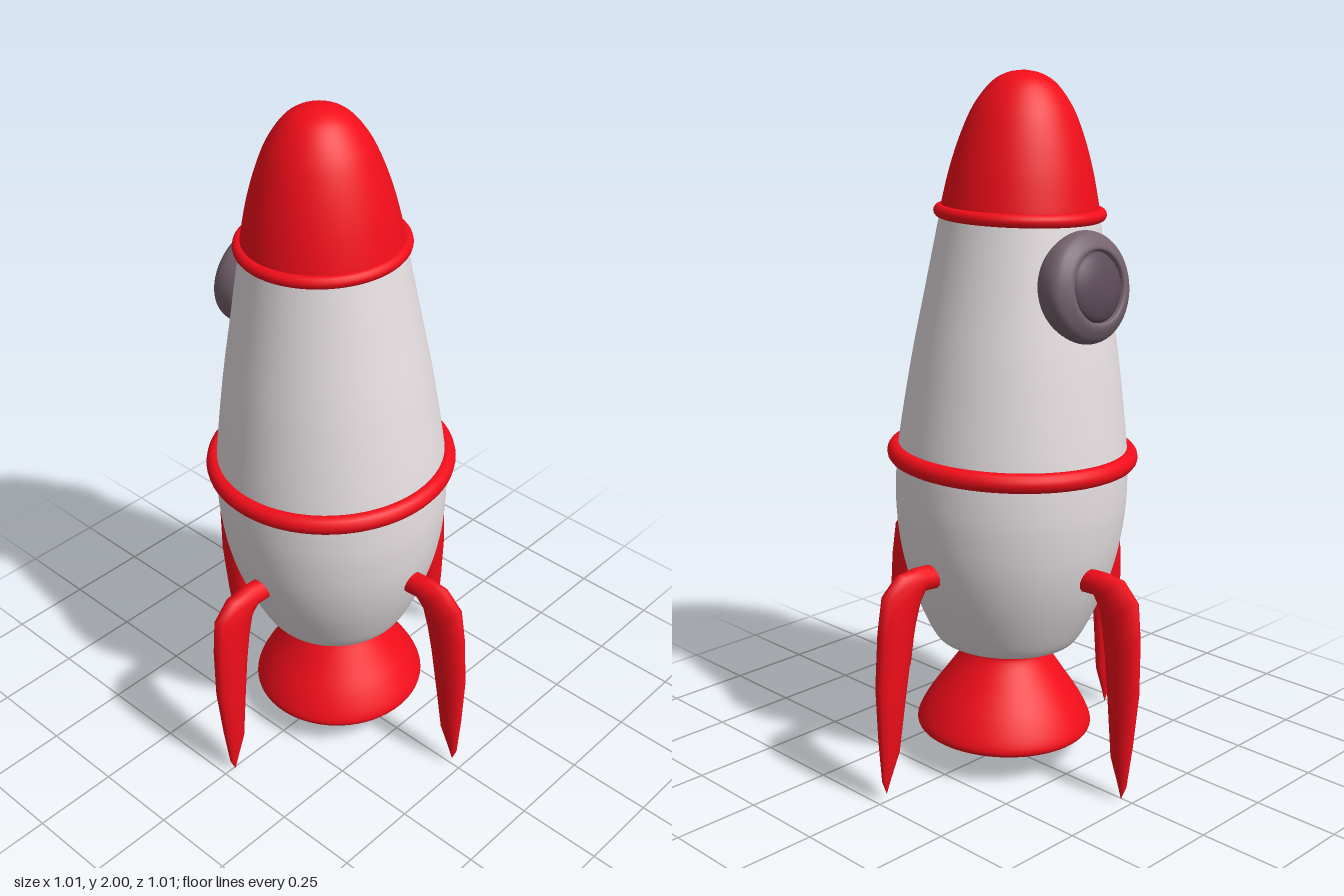
import * as THREE from 'three';

const red = new THREE.MeshStandardMaterial({ color: 0xf20d1a });
const white = new THREE.MeshStandardMaterial({ color: 0xe6dfe2 });
const frameMat = new THREE.MeshStandardMaterial({ color: 0x75636e });
const glassMat = new THREE.MeshStandardMaterial({ color: 0x5c4b58 });

const vec = ([x, y]) => new THREE.Vector2(x, y);

// Smooth surface of revolution through a few [radius, height] points
function turned(name, points, material, steps = 40) {
  const profile = new THREE.SplineCurve(points.map(vec)).getPoints(steps);
  profile.forEach((p) => { p.x = Math.max(p.x, 0); });
  const mesh = new THREE.Mesh(new THREE.LatheGeometry(profile, 64), material);
  mesh.name = name;
  return mesh;
}

// Rounded band around the hull
function band(name, radius, tube, y, stretch) {
  const geometry = new THREE.TorusGeometry(radius, tube, 14, 72);
  geometry.rotateX(Math.PI / 2).scale(1, stretch, 1).translate(0, y, 0);
  const mesh = new THREE.Mesh(geometry, red);
  mesh.name = name;
  return mesh;
}

// Bent fin lofted through oval sections: outer point, inner point, half thickness
function finGeometry() {
  const sections = [
    [0.27, 0.655, 0.27, 0.585, 0.032],
    [0.36, 0.66, 0.345, 0.59, 0.033],
    [0.43, 0.655, 0.36, 0.56, 0.034],
    [0.487, 0.605, 0.373, 0.50, 0.033],
    [0.501, 0.50, 0.388, 0.42, 0.032],
    [0.507, 0.34, 0.407, 0.28, 0.029],
    [0.495, 0.18, 0.425, 0.13, 0.022],
    [0.482, 0.05, 0.452, 0.06, 0.01],
    [0.467, 0.014, 0.466, 0.014, 0.001],
  ];
  const sides = 12;
  const positions = [];
  const index = [];
  sections.forEach(([ox, oy, ix, iy, t], i) => {
    for (let j = 0; j < sides; j++) {
      const a = (j / sides) * Math.PI * 2;
      const c = Math.cos(a) / 2;
      positions.push((ox + ix) / 2 + (ox - ix) * c, (oy + iy) / 2 + (oy - iy) * c, t * Math.sin(a));
      if (i === sections.length - 1) continue;
      const k = (j + 1) % sides;
      const p = i * sides + j, q = i * sides + k;
      index.push(p, q, q + sides, p, q + sides, p + sides);
    }
  });
  const geometry = new THREE.BufferGeometry();
  geometry.setAttribute('position', new THREE.Float32BufferAttribute(positions, 3));
  geometry.setIndex(index);
  geometry.computeVertexNormals();
  return geometry;
}

// Round porthole, built along +y and turned to sit on the sloping hull
function porthole() {
  const group = new THREE.Group();
  group.name = 'porthole';
  group.add(turned('portholeFrame', [
    [0.138, -0.06], [0.15, -0.035], [0.153, 0], [0.145, 0.022],
    [0.125, 0.038], [0.108, 0.046], [0.098, 0.042], [0.094, 0.02],
  ], frameMat));
  group.add(turned('portholeGlass', [
    [0.1, 0.025], [0.088, 0.042], [0.06, 0.055], [0.03, 0.061], [0, 0.063],
  ], glassMat, 20));
  group.position.set(-0.257, 1.44, 0.003);
  group.rotation.z = Math.PI / 2 - 0.16;
  return group;
}

export function createModel() {
  const model = new THREE.Group();
  model.name = 'rocket';

  // Hull with a rounded underside
  model.add(turned('hull', [
    [0, 0.365], [0.1, 0.365], [0.185, 0.37], [0.213, 0.385], [0.25, 0.455],
    [0.288, 0.55], [0.315, 0.65], [0.329, 0.75], [0.333, 0.84], [0.327, 0.96],
    [0.294, 1.2], [0.259, 1.4], [0.222, 1.61],
  ], white, 72));

  // Nose cone and the two bands
  model.add(turned('noseCone', [
    [0.222, 1.61], [0.216, 1.65], [0.196, 1.74], [0.168, 1.83],
    [0.135, 1.905], [0.09, 1.965], [0.045, 1.992], [0, 2.0],
  ], red));
  model.add(band('noseBand', 0.222, 0.018, 1.617, 1));
  model.add(band('middleBand', 0.333, 0.026, 0.932, 1.05));

  // Hollow flared nozzle, from the inner dome round the lip to the neck
  model.add(turned('nozzle', [
    [0, 0.25], [0.08, 0.24], [0.145, 0.195], [0.185, 0.13], [0.205, 0.095],
    [0.235, 0.088], [0.256, 0.098], [0.254, 0.125], [0.222, 0.185],
    [0.17, 0.26], [0.13, 0.32], [0.124, 0.345], [0.14, 0.37],
  ], red, 72));

  // Four fins
  const finShape = finGeometry();
  ['leftFin', 'backFin', 'rightFin', 'frontFin'].forEach((name, i) => {
    const fin = new THREE.Mesh(finShape, red);
    fin.name = name;
    fin.rotation.y = (i * Math.PI) / 2;
    model.add(fin);
  });

  model.add(porthole());

  // The whole rocket leans slightly forward and to its right
  model.rotation.set(0.024, 0, 0.018);
  model.position.set(0.0036, 0, -0.0048);
  const root = new THREE.Group();
  root.name = 'leaningRocket';
  root.add(model);
  return root;
}
